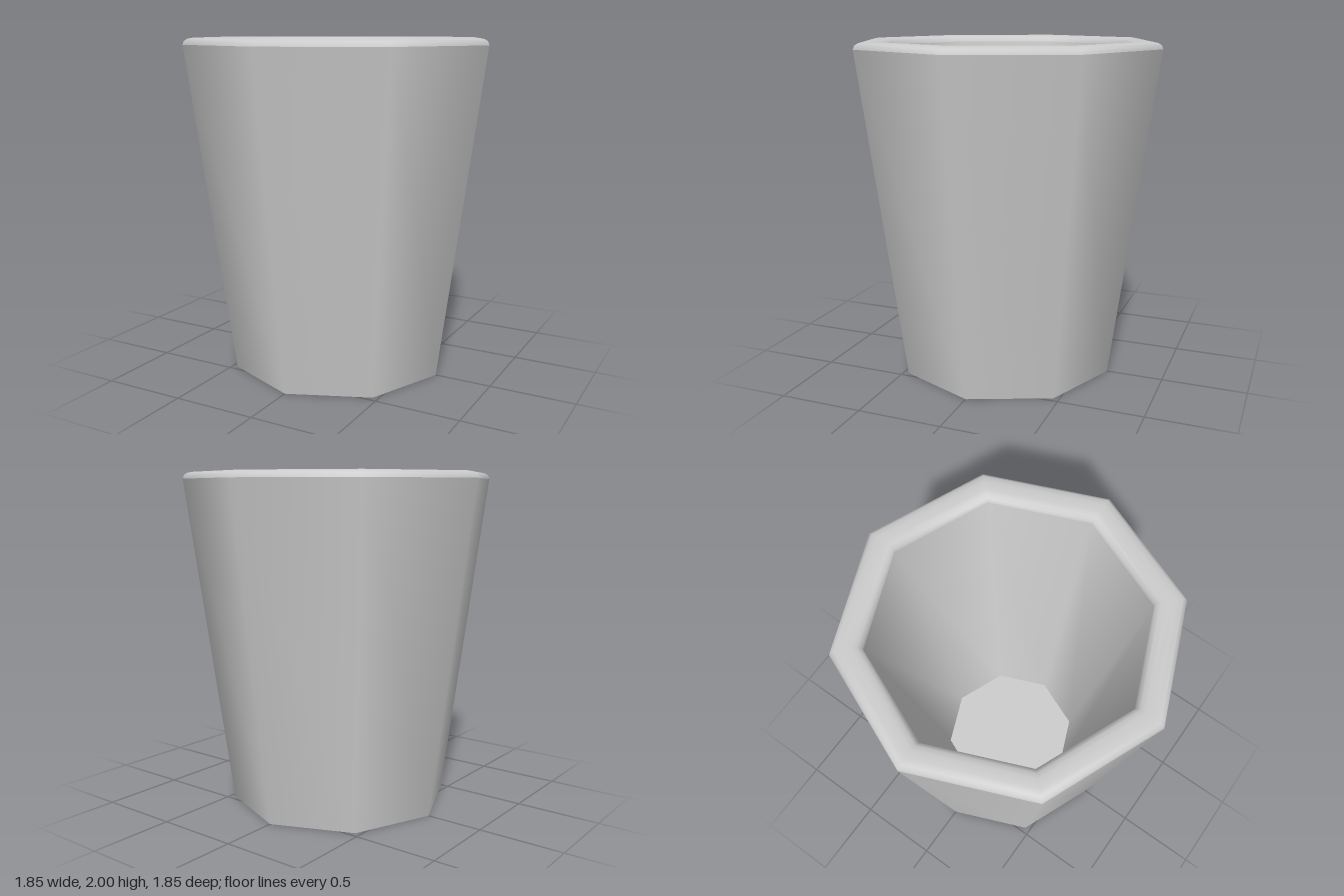
import * as THREE from 'three';

const SIDES = 8;

export function createModel() {
  const group = new THREE.Group();
  group.name = 'cup';
  const grey = new THREE.MeshStandardMaterial({ color: 0xcccccc });
  grey.name = 'light grey';

  const add = (name, geometry) => {
    const mesh = new THREE.Mesh(geometry, grey);
    mesh.name = name;
    group.add(mesh);
    return mesh;
  };

  // Eight-sided ring from [radius, height] points, smooth around the axis
  const ring = (name, points) =>
    add(name, new THREE.LatheGeometry(points.map(([r, y]) => new THREE.Vector2(r, y)), SIDES));

  // Flat octagon with a corner on each axis
  const disc = (name, radius, y, facing) => {
    const mesh = add(name, new THREE.CircleGeometry(radius, SIDES));
    mesh.rotation.x = -facing * Math.PI / 2;
    mesh.position.y = y;
  };

  ring('outerWall', [[0.66, 0], [0.923, 1.96]]);

  // Softly rounded lip
  ring('rim', [
    [0.923, 1.96], [0.915, 1.982], [0.895, 1.994], [0.86, 2],
    [0.81, 2], [0.78, 1.994], [0.759, 1.982], [0.75, 1.96],
  ]);

  ring('innerWall', [[0.75, 1.96], [0.425, 0.2]]);
  disc('innerFloor', 0.425, 0.2, 1);
  disc('base', 0.66, 0, -1);

  return group;
}
